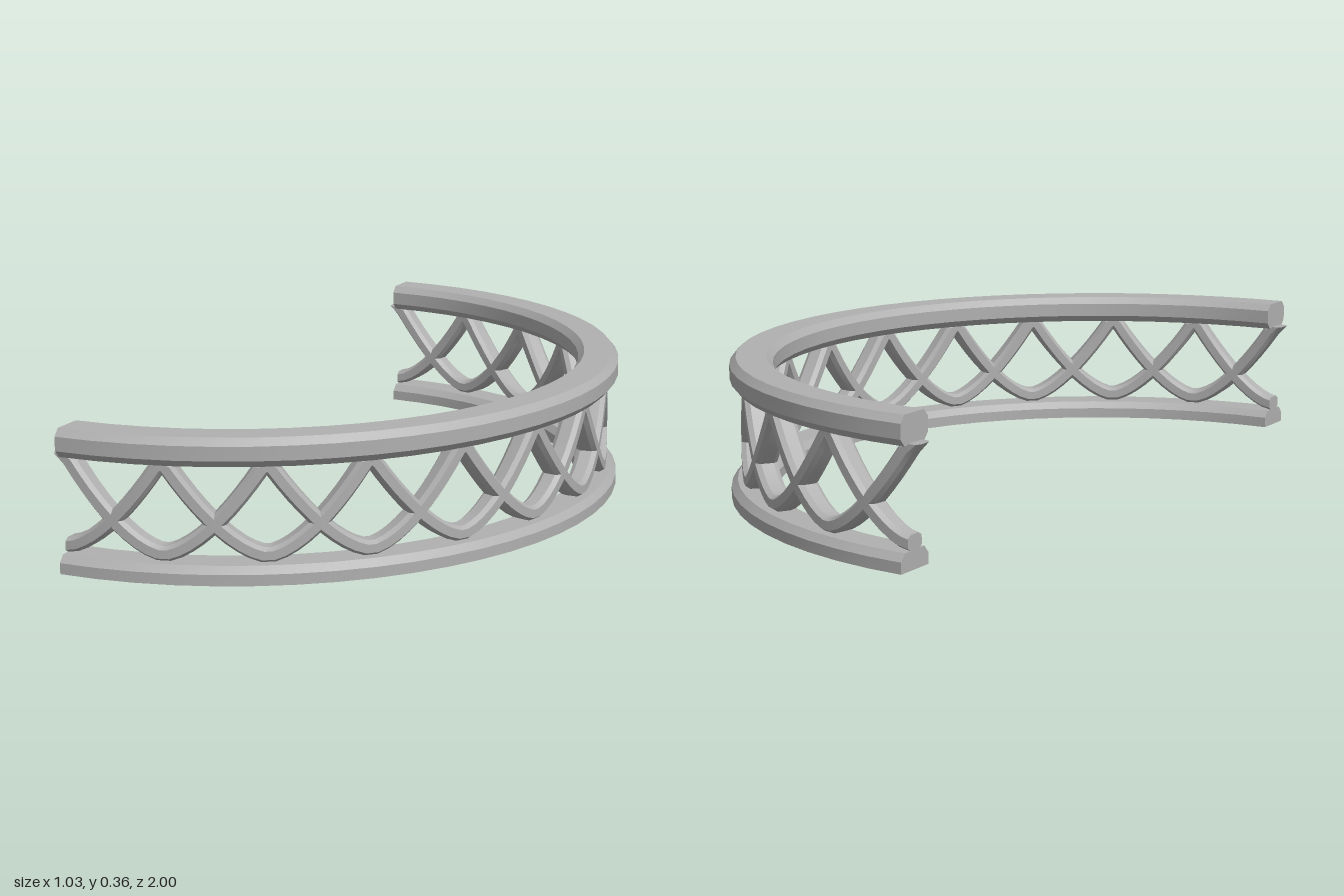
import * as THREE from 'three';
import { toCreasedNormals } from 'three/addons/utils/BufferGeometryUtils.js';

const CX = -0.487;          // centre of the half circle
const R = 0.945;            // mid radius of rails and lattice
const STEP = Math.PI / 12;  // angle between lattice peaks

// Point at angle a (0 = front end, PI = back end), radius r, height y
const polar = (a, r, y) => [CX + r * Math.sin(a), y, r * Math.cos(a)];

// Rectangle section with chamfered corners, counterclockwise, centred on 0,0
function chamferedSection(w, h, cx, cy) {
  return [
    [w - cx, -h], [w, -h + cy], [w, h - cy], [w - cx, h],
    [-w + cx, h], [-w, h - cy], [-w, -h + cy], [-w + cx, -h],
  ];
}

// Joins a list of equal cross-sections into a closed solid
function loft(sections) {
  const pos = [];
  const tri = (a, b, c) => pos.push(...a, ...b, ...c);
  const n = sections[0].length, last = sections.length - 1;
  for (let s = 0; s < last; s++) {
    for (let i = 0; i < n; i++) {
      const j = (i + 1) % n, p = sections[s], q = sections[s + 1];
      tri(p[i], q[i], q[j]);
      tri(p[i], q[j], p[j]);
    }
  }
  for (let i = 1; i < n - 1; i++) {
    tri(sections[0][0], sections[0][i], sections[0][i + 1]);
    tri(sections[last][0], sections[last][i + 1], sections[last][i]);
  }
  const geo = new THREE.BufferGeometry();
  geo.setAttribute('position', new THREE.Float32BufferAttribute(pos, 3));
  return toCreasedNormals(geo, 0.5);
}

// Half ring with a given section of [radius offset, height]
function railGeometry(section) {
  const sections = [];
  for (let s = 0; s <= 32; s++) {
    sections.push(section.map(([u, y]) => polar((s / 32) * Math.PI, R + u, y)));
  }
  return loft(sections);
}

// U-shaped lattice strip with its low point at angle a0, from t0 to t1
function stripGeometry(a0, t0, t1) {
  const section = chamferedSection(0.028, 0.019, 0.012, 0.008);
  const height = (t) => 0.064 + 0.232 * Math.pow(Math.abs(t), 1.6);
  const steps = Math.round((t1 - t0) * 10), sections = [];
  for (let s = 0; s <= steps; s++) {
    const t = t0 + ((t1 - t0) * s) / steps;
    const dy = height(t + 0.01) - height(t - 0.01), dx = 0.02 * STEP * R;
    const len = Math.hypot(dx, dy);
    sections.push(section.map(([u, v]) => polar(
      a0 + t * STEP - (v * dy) / len / R,
      R + u,
      Math.min(0.294, height(t) + (v * dx) / len), // cut level inside the top rail
    )));
  }
  return loft(sections);
}

export function createModel() {
  const model = new THREE.Group();
  model.name = 'curvedRailing';
  const grey = new THREE.MeshStandardMaterial({ color: 0xb0b0b0 });
  grey.name = 'grey';
  const add = (name, geo, parent) => {
    const mesh = new THREE.Mesh(geo, grey);
    mesh.name = name;
    parent.add(mesh);
  };

  // Handrail: chamfered bar
  const top = chamferedSection(0.055, 0.036, 0.016, 0.018).map(([u, v]) => [u, v + 0.326]);
  add('topRail', railGeometry(top), model);

  // Base: flat underside, sloping upper edges
  add('bottomRail', railGeometry([
    [0.055, 0], [0.055, 0.028], [0.039, 0.046], [-0.039, 0.046], [-0.055, 0.028], [-0.055, 0],
  ]), model);

  // Overlapping U strips, halved at both ends
  const lattice = new THREE.Group();
  lattice.name = 'lattice';
  for (let k = 0; k <= 12; k++) {
    add('latticeStrip', stripGeometry(k * STEP, k === 0 ? 0 : -1.05, k === 12 ? 0 : 1.05), lattice);
  }
  model.add(lattice);
  return model;
}
